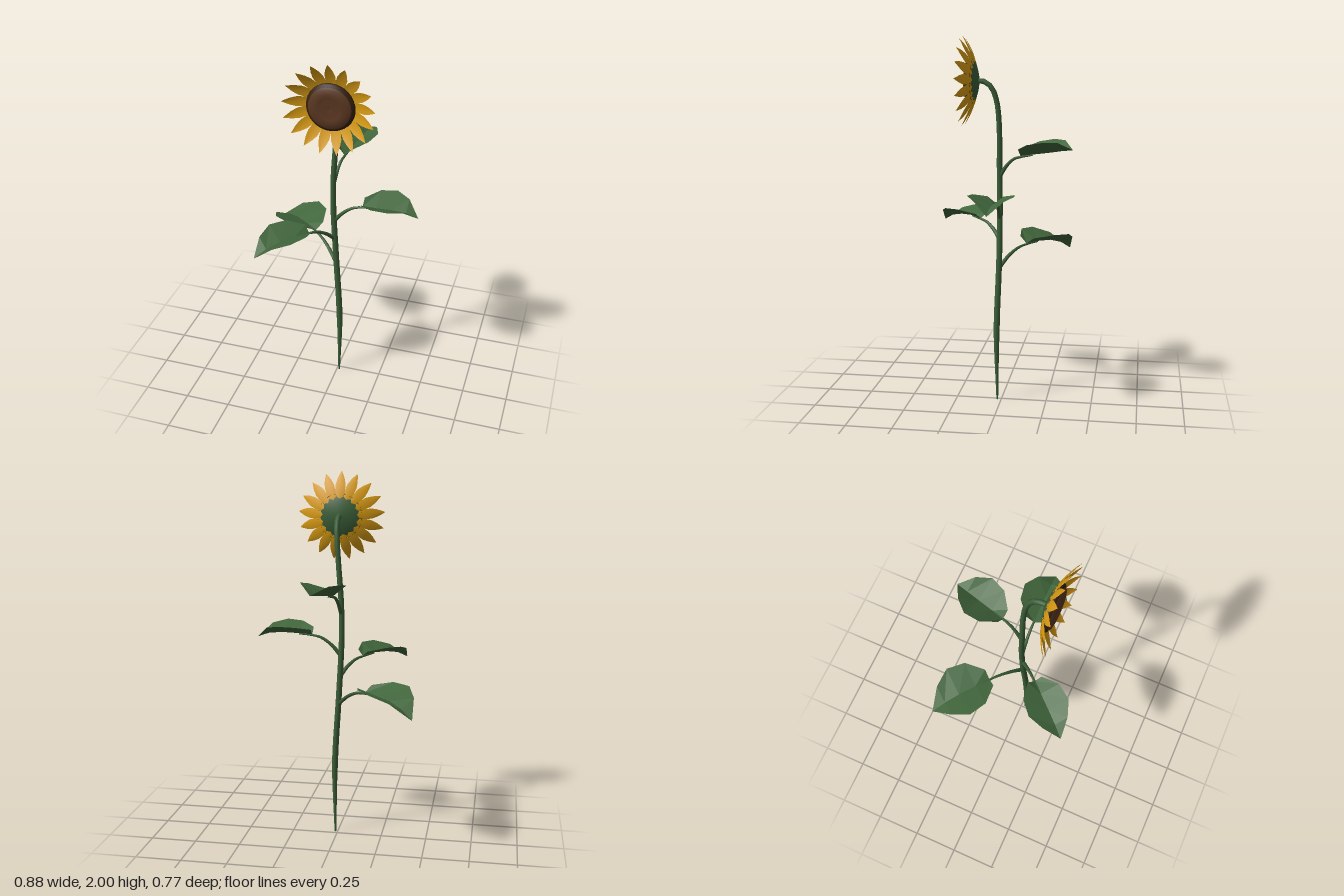
import * as THREE from 'three';
import { mergeGeometries } from 'three/addons/utils/BufferGeometryUtils.js';

const V = (x, y, z) => new THREE.Vector3(x, y, z);
const mat = (color, extra = {}) => {
  const m = new THREE.MeshStandardMaterial({ color });
  return Object.assign(m, extra);
};

function mesh(name, geometry, material) {
  const m = new THREE.Mesh(geometry, material);
  m.name = name;
  return m;
}

// Round tube along a path, its radius following a function of t (0..1)
function taperedTube(points, segments, sides, radius) {
  const curve = new THREE.CatmullRomCurve3(points);
  const geo = new THREE.TubeGeometry(curve, segments, 1, sides);
  const pos = geo.attributes.position;
  const v = new THREE.Vector3();
  for (let i = 0; i <= segments; i++) {
    const c = curve.getPointAt(i / segments);
    const r = radius(i / segments);
    for (let j = 0; j <= sides; j++) {
      const k = i * (sides + 1) + j;
      v.fromBufferAttribute(pos, k).sub(c).multiplyScalar(r).add(c);
      pos.setXYZ(k, v.x, v.y, v.z);
    }
  }
  return geo;
}

// Folded blade along +x; each station is [x, half width, rib height, edge height]
function blade(stations) {
  const positions = [], index = [];
  stations.forEach(([x, w, rib, edge], i) => {
    positions.push(x, edge, -w, x, rib, 0, x, edge, w);
    if (i === 0) return;
    const a = 3 * (i - 1), b = 3 * i;
    for (let k = 0; k < 2; k++) {
      index.push(a + k, a + k + 1, b + k, b + k, a + k + 1, b + k + 1);
    }
  });
  const geo = new THREE.BufferGeometry();
  geo.setAttribute('position', new THREE.Float32BufferAttribute(positions, 3));
  geo.setIndex(index);
  geo.computeVertexNormals();
  return geo;
}

export function createModel() {
  const root = new THREE.Group();
  root.name = 'sunflower';
  const green = mat(0x3b5e38);
  const leafGreen = mat(0x41663c, { side: THREE.DoubleSide, flatShading: true });
  const yellow = mat(0xd99c14, { side: THREE.DoubleSide });
  const brown = mat(0x5c3822);
  const darkBrown = mat(0x35200f);

  // Stem, swelling from a thin foot and nodding forward at the top
  const stemPath = [
    V(0.013, 0, 0.022), V(0.016, 0.4, 0.025), V(-0.008, 0.8, 0.014), V(-0.023, 1.1, 0.012),
    V(-0.021, 1.3, 0.014), V(-0.006, 1.52, 0.013), V(0.004, 1.65, 0.024),
    V(0.01, 1.725, 0.05), V(0.01, 1.757, 0.088), V(0.01, 1.762, 0.13),
  ];
  const stemRadius = t => t < 0.22 ? 0.005 + 0.012 * t / 0.22 : 0.017 - 0.004 * (t - 0.22);
  root.add(mesh('stem', taperedTube(stemPath, 48, 10, stemRadius), green));

  // Leaves: direction, stalk root height, blade base distance and length, rib heights
  const leaves = [
    { name: 'leftLeaf', from: [-0.022, 0.012], tip: [0.44, 0.01], y0: 1.02, base: 0.16,
      rib: [1.135, 1.14, 1.143, 1.138, 1.115], lift: 0.052, wide: 1 },
    { name: 'backLeaf', from: [-0.021, 0.014], tip: [0.068, -0.386], y0: 1.25, base: 0.12,
      rib: [1.365, 1.378, 1.39, 1.402, 1.41], lift: 0.063, wide: 1 },
    { name: 'backRightLeaf', from: [-0.005, 0.015], tip: [-0.444, -0.339], y0: 0.75, base: 0.21,
      rib: [0.855, 0.858, 0.85, 0.825, 0.78], lift: 0.055, wide: 1.02 },
    { name: 'frontRightLeaf', from: [-0.015, 0.013], tip: [-0.343, 0.381], y0: 0.91, base: 0.16,
      rib: [1.0, 1.008, 1.002, 0.985, 0.95], lift: 0.045, wide: 0.86 },
  ];
  const along = [0, 0.24, 0.53, 0.78, 1];
  const widths = [0.14, 0.36, 0.405, 0.25, 0];
  const lifts = [0.65, 0.95, 1, 0.8, 0];
  for (const { name, from, tip, y0, base, rib, lift, wide } of leaves) {
    const dx = tip[0] - from[0], dz = tip[1] - from[1];
    const reach = Math.hypot(dx, dz), length = reach - base, rise = rib[0] - y0;
    const leaf = new THREE.Group();
    leaf.name = name;
    leaf.position.set(from[0], 0, from[1]);
    leaf.rotation.y = Math.atan2(-dz, dx);
    const stations = along.map((t, i) =>
      [base + t * length, widths[i] * length * wide, rib[i], rib[i] + lift * lifts[i]]);
    const stalk = [
      V(0, y0, 0), V(base * 0.35, y0 + rise * 0.55, 0), V(base * 0.7, y0 + rise * 0.88, 0),
      V(base, rib[0] - 0.003, 0), V(base + 0.24 * length, rib[1] - 0.003, 0),
    ];
    leaf.add(mesh('leafStalk', taperedTube(stalk, 12, 8, t => 0.012 - 0.008 * t), green));
    leaf.add(mesh('leafBlade', blade(stations), leafGreen));
    root.add(leaf);
  }

  // Flower head, facing +z
  const head = new THREE.Group();
  head.name = 'flowerHead';
  head.position.set(0.01, 1.76, 0);
  root.add(head);
  const lathe = (name, profile, material) => {
    const geo = new THREE.LatheGeometry(profile.map(([r, z]) => new THREE.Vector2(r, z)), 32);
    head.add(mesh(name, geo.rotateX(Math.PI / 2), material));
  };
  lathe('calyx', [[0, 0.118], [0.03, 0.12], [0.065, 0.128], [0.095, 0.138], [0.118, 0.15]], green);
  lathe('seedRim', [[0.12, 0.146], [0.126, 0.158], [0.122, 0.17], [0.11, 0.177]], darkBrown);
  lathe('seedDisc', [[0.112, 0.175], [0.1, 0.184], [0.078, 0.189], [0.058, 0.189],
    [0.048, 0.185], [0.025, 0.187], [0, 0.183]], brown);

  // Ring of pointed petals curving forward
  const petalStations = [
    [0.095, 0.016, 0.138, 0.141], [0.135, 0.026, 0.15, 0.154], [0.17, 0.027, 0.165, 0.17],
    [0.2, 0.019, 0.181, 0.185], [0.222, 0.009, 0.195, 0.197], [0.239, 0, 0.208, 0.208],
  ];
  const count = 17, petals = [];
  for (let i = 0; i < count; i++) {
    petals.push(blade(petalStations).rotateX(Math.PI / 2)
      .rotateZ(Math.PI / 2 + i * 2 * Math.PI / count));
  }
  head.add(mesh('petals', mergeGeometries(petals), yellow));
  return root;
}
